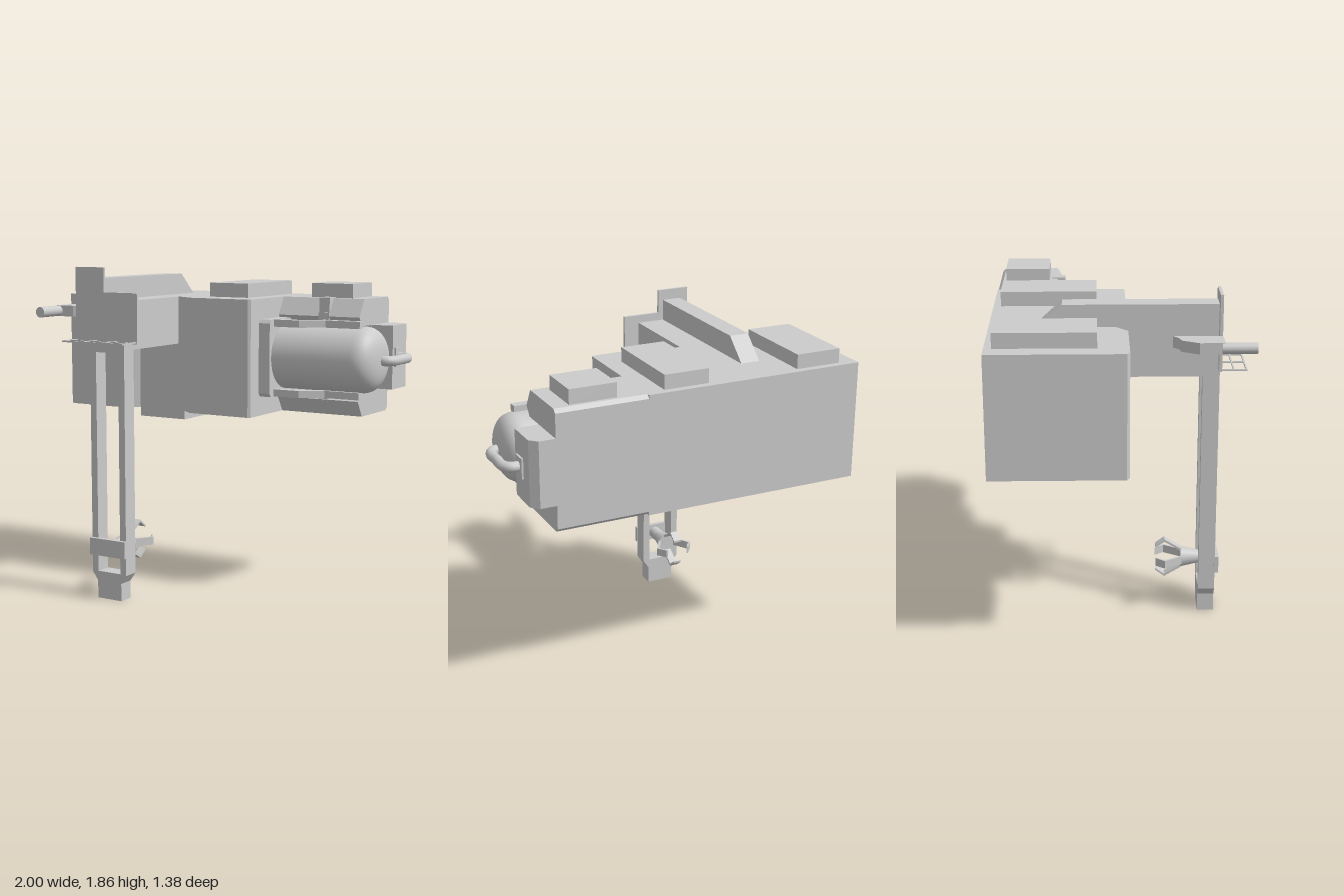
import * as THREE from 'three';

const mat = new THREE.MeshStandardMaterial({ color: 0xcccccc, side: THREE.DoubleSide });

export function createModel() {
  const root = new THREE.Group();

  const add = (name, geo, parent = root) => {
    const m = new THREE.Mesh(geo, mat);
    m.name = name;
    parent.add(m);
    return m;
  };
  // Box given by its minimum and maximum on each axis
  const box = (name, x0, x1, y0, y1, z0, z1) =>
    add(name, new THREE.BoxGeometry(x1 - x0, y1 - y0, z1 - z0)
      .translate((x0 + x1) / 2, (y0 + y1) / 2, (z0 + z1) / 2));
  const extrude = (pts, depth, holes = []) => {
    const shape = new THREE.Shape(pts.map(p => new THREE.Vector2(...p)));
    for (const h of holes) shape.holes.push(new THREE.Path(h.map(p => new THREE.Vector2(...p))));
    return new THREE.ExtrudeGeometry(shape, { depth, bevelEnabled: false });
  };
  // Plan outline [x, z] raised from y0 to y1
  const plan = (name, pts, y0, y1) =>
    add(name, extrude(pts.map(([x, z]) => [x, -z]), y1 - y0).rotateX(-Math.PI / 2).translate(0, y0, 0));
  // Side outline [z, y] swept from x0 to x1
  const side = (name, pts, x0, x1) =>
    add(name, extrude(pts.map(([z, y]) => [-z, y]), x1 - x0).rotateY(Math.PI / 2).translate(x0, 0, 0));
  // Front outline [x, y] swept from z0 to z1
  const front = (name, pts, z0, z1, holes) =>
    add(name, extrude(pts, z1 - z0, holes).translate(0, 0, z0));

  // Main hull with a chamfered notch for the arm
  plan('hull', [[-1, -0.69], [-1, 0.015], [-0.97, 0.03], [-0.6, 0.03], [-0.53, -0.03], [-0.22, -0.03],
    [-0.15, 0.03], [0.235, 0.03], [0.25, 0.02], [0.25, -0.69]], 1.02, 1.68);
  side('underBlock', [[-0.03, 0.97], [-0.03, 1.03], [-0.365, 1.03], [-0.365, 1.01], [-0.335, 0.97]], -0.53, -0.22);

  // Roof boxes
  for (const [x0, x1, z1] of [[-0.9, -0.64, -0.13], [-0.11, 0.145, -0.13], [0.41, 0.67, -0.4]])
    box('roofBox', x0, x1, 1.67, 1.76, -0.65, z1);

  // Forward arm and its raised spine
  box('arm', -0.53, -0.26, 1.41, 1.68, -0.1, 0.51);
  side('armSpine', [[0.51, 1.66], [0.51, 1.8], [-0.31, 1.8], [-0.44, 1.68], [-0.44, 1.66]], -0.53, -0.42);
  front('armEndPlate', [[-0.58, 1.45], [-0.17, 1.45], [-0.17, 1.725], [-0.39, 1.725], [-0.39, 1.86], [-0.58, 1.86]], 0.502, 0.518);

  // Wire shelf on the end plate
  for (const x of [-0.575, -0.44, -0.305, -0.18]) box('shelfWire', x - 0.004, x + 0.004, 1.455, 1.463, 0.51, 0.65);
  for (const z of [0.58, 0.646]) box('shelfRail', -0.579, -0.176, 1.455, 1.463, z - 0.004, z + 0.004);

  // Side lamp and bracket
  plan('lampBracket', [[-0.58, 0.26], [-0.58, 0.51], [-0.6, 0.52], [-0.71, 0.52], [-0.71, 0.39], [-0.66, 0.3], [-0.62, 0.29]], 1.585, 1.645);
  add('lampTube', new THREE.CylinderGeometry(0.029, 0.029, 0.18, 16).rotateX(Math.PI / 2).translate(-0.7, 1.615, 0.595));

  // Hanging mast: twin rails joined by a narrow foot
  front('mast', [[-0.49, 1.45], [-0.49, 0.15], [-0.455, 0.1], [-0.455, 0], [-0.295, 0], [-0.295, 0.1], [-0.26, 0.15], [-0.26, 1.45]],
    0.425, 0.515, [[[-0.45, 0.155], [-0.3, 0.155], [-0.3, 1.395], [-0.45, 1.395]]]);
  box('slider', -0.495, -0.257, 0.25, 0.347, 0.51, 0.535);

  // Gripper with four bent fingers, pointing backwards
  const claw = new THREE.Group();
  claw.name = 'gripper';
  claw.position.set(-0.375, 0.297, 0);
  root.add(claw);
  add('gripperHub', new THREE.CylinderGeometry(0.036, 0.058, 0.1, 16).rotateX(Math.PI / 2).translate(0, 0, 0.38), claw);
  add('gripperShaft', new THREE.CylinderGeometry(0.036, 0.036, 0.1, 16).rotateX(Math.PI / 2).translate(0, 0, 0.47), claw);
  for (let i = 0; i < 4; i++) {
    const finger = extrude([[-0.335, 0.04], [-0.335, 0.055], [-0.24, 0.113], [-0.19, 0.075], [-0.19, 0.063], [-0.24, 0.099]], 0.046)
      .rotateY(Math.PI / 2).translate(-0.023, 0, 0).rotateZ(i * Math.PI / 2);
    add('gripperFinger', finger, claw);
  }

  // Engine housing, open to the front as a C section
  side('engineHousing', [[-0.67, 1.02], [-0.35, 1.02], [-0.295, 1.11], [-0.4, 1.17], [-0.46, 1.17], [-0.46, 1.53],
    [-0.34, 1.53], [-0.3, 1.58], [-0.36, 1.68], [-0.67, 1.68], [-0.69, 1.66], [-0.69, 1.04]], 0.25, 0.76);
  plan('housingEnd', [[0.7, -0.69], [0.85, -0.69], [0.89, -0.65], [0.89, -0.465], [0.7, -0.465]], 1.17, 1.53);
  side('tankMount', [[-0.46, 1.13], [-0.085, 1.13], [-0.07, 1.15], [-0.07, 1.545], [-0.085, 1.565], [-0.46, 1.565]], 0.24, 0.32);
  box('tankStrap', 0.505, 0.57, 1.1, 1.6, -0.4, -0.3);
  box('housingClip', 0.505, 0.57, 1.59, 1.685, -0.39, -0.31);

  // Tank with a rounded cap
  const profile = [[0, 0.3], [0.185, 0.3], [0.185, 0.3], [0.185, 0.55], [0.185, 0.8]];
  for (let i = 1; i <= 12; i++) {
    const a = (i / 12) * Math.PI / 2;
    profile.push([0.185 * Math.pow(Math.max(0, Math.cos(a)), 0.75), 0.8 + 0.12 * Math.pow(Math.sin(a), 0.85)]);
  }
  add('tank', new THREE.LatheGeometry(profile.map(([r, x]) => new THREE.Vector2(r, x)), 48)
    .rotateZ(-Math.PI / 2).translate(0, 1.35, -0.273));

  // Jogged guard bars above and below the tank
  const bar = [[0.3, -0.117], [0.48, -0.117], [0.6, -0.2], [0.81, -0.2], [0.81, -0.25], [0.575, -0.25], [0.46, -0.165], [0.3, -0.165]];
  for (const y of [1.132, 1.525]) plan('guardBar', bar, y, y + 0.04);

  // Feed pipe from the housing end round to the tank cap
  box('pipeFlange', 0.88, 0.9, 1.295, 1.405, -0.575, -0.49);
  const path = new THREE.CatmullRomCurve3([[0.88, -0.527], [0.94, -0.525], [0.967, -0.49], [0.968, -0.4], [0.966, -0.31], [0.94, -0.275], [0.88, -0.27]]
    .map(([x, z]) => new THREE.Vector3(x, 1.35, z)));
  add('feedPipe', new THREE.TubeGeometry(path, 40, 0.028, 12));

  return root;
}
